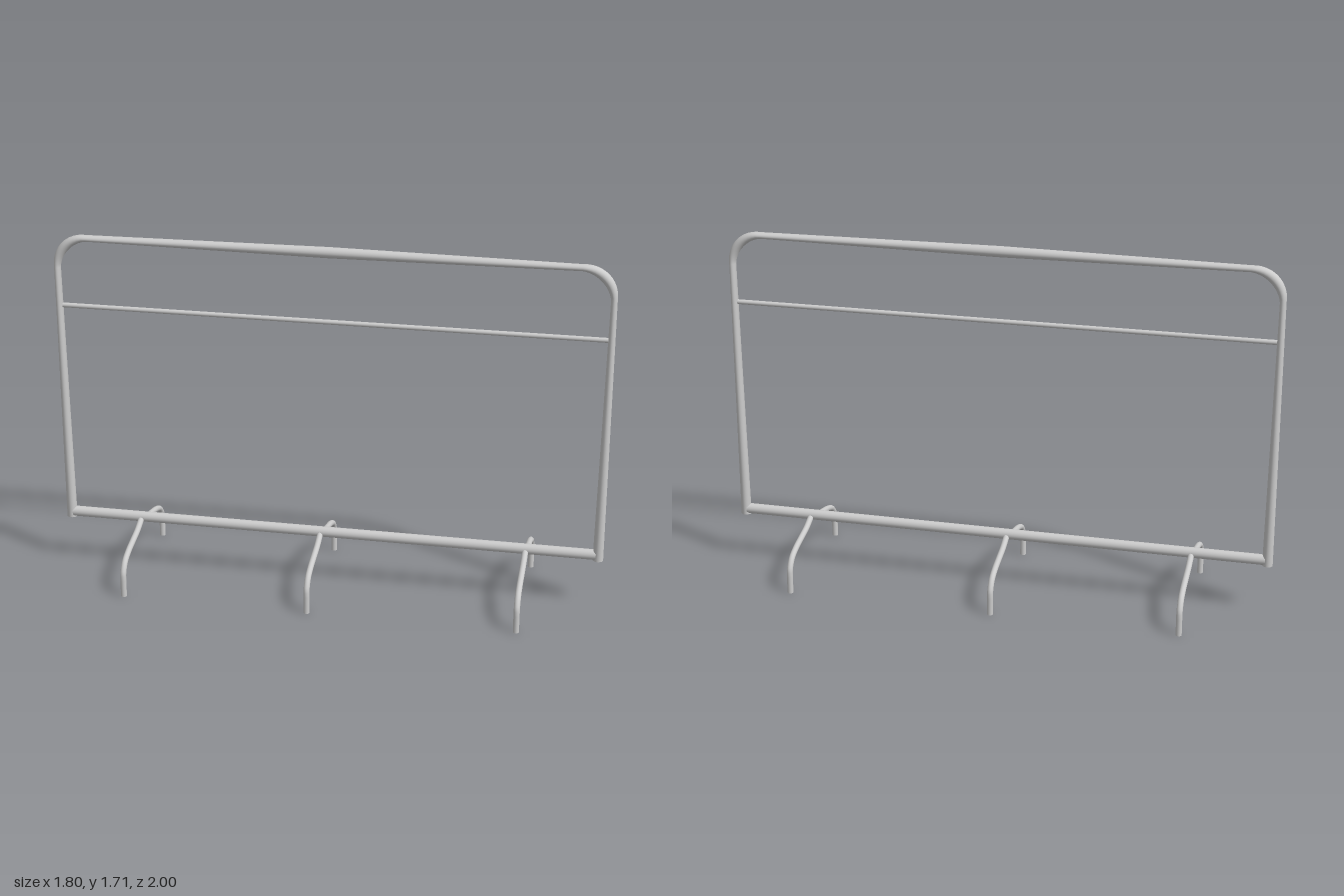
import * as THREE from 'three';

const material = new THREE.MeshStandardMaterial({ color: 0xcccccc });

function part(name, geometry) {
  const mesh = new THREE.Mesh(geometry, material);
  mesh.name = name;
  return mesh;
}

// Lofts elliptical rings along stations { x, y, angle, half } lying in the XY plane.
function sweep(stations, depth, sides = 20) {
  const positions = [], index = [];
  for (const { x, y, angle, half } of stations) {
    for (let i = 0; i <= sides; i++) {
      const a = (i / sides) * Math.PI * 2;
      const n = Math.cos(a) * half;
      positions.push(x - Math.sin(angle) * n, y + Math.cos(angle) * n, Math.sin(a) * depth);
    }
  }
  const row = sides + 1;
  for (let s = 0; s < stations.length - 1; s++) {
    for (let i = 0; i < sides; i++) {
      const a = s * row + i, b = a + row;
      index.push(a, a + 1, b, b, a + 1, b + 1);
    }
  }
  const geometry = new THREE.BufferGeometry();
  geometry.setAttribute('position', new THREE.Float32BufferAttribute(positions, 3));
  geometry.setIndex(index);
  geometry.computeVertexNormals();
  return geometry;
}

// Disc closing the bottom of a vertical tube.
function bottomCap(name, radius, x, y, z = 0) {
  const cap = part(name, new THREE.CircleGeometry(radius, 20));
  cap.rotation.x = Math.PI / 2;
  cap.position.set(x, y, z);
  return cap;
}

function rail(name, radius, length, y) {
  const mesh = part(name, new THREE.CylinderGeometry(radius, radius, length, 20));
  mesh.rotation.z = Math.PI / 2;
  mesh.position.y = y;
  return mesh;
}

// Upright posts, bends and top bar; the tube narrows slightly toward the bends.
function hoopStations() {
  const half = [{ x: -1.3, y: 0.237, angle: Math.PI / 2, half: 0.025 }];
  const steps = 12, r = 0.147;
  for (let i = 0; i <= steps; i++) {
    const t = i / steps, a = t * Math.PI / 2;
    half.push({
      x: -1.16 - r * Math.cos(a),
      y: 1.533 + r * Math.sin(a),
      angle: Math.PI / 2 - a,
      half: 0.015 + 0.008 * Math.sin(t * Math.PI),
    });
  }
  const mirrored = half.map((s) => ({ ...s, x: -s.x, angle: -s.angle })).reverse();
  return [...half, { x: 0, y: 1.68, angle: 0, half: 0.026 }, ...mirrored];
}

// One curved foot tube reaching from the bottom rail to the ground.
function legGeometry() {
  const path = new THREE.CurvePath();
  const p = (z, y) => new THREE.Vector3(0, y, z);
  const bend = new THREE.CatmullRomCurve3([
    p(0, 0.264), p(0.035, 0.248), p(0.09, 0.227), p(0.17, 0.209),
    p(0.25, 0.19), p(0.31, 0.163), p(0.342, 0.12), p(0.347, 0.085),
  ]);
  path.add(bend);
  path.add(new THREE.LineCurve3(p(0.347, 0.085), p(0.347, 0)));
  return new THREE.TubeGeometry(path, 48, 0.0145, 14, false);
}

export function createModel() {
  const model = new THREE.Group();
  model.name = 'barrier';

  const rack = new THREE.Group();
  rack.name = 'rack';
  rack.rotation.y = -THREE.MathUtils.degToRad(48.6);
  rack.position.x = -0.006;
  model.add(rack);

  rack.add(part('hoopFrame', sweep(hoopStations(), 0.025)));
  for (const side of [-1, 1]) rack.add(bottomCap('postCap', 0.025, side * 1.3, 0.237));

  rack.add(rail('middleRail', 0.0115, 2.58, 1.343));
  rack.add(rail('bottomRail', 0.0255, 2.58, 0.264));

  // Three pairs of feet set across the rail
  const leg = legGeometry();
  for (const x of [-0.94, -0.04, 0.956]) {
    const pair = new THREE.Group();
    pair.name = 'footPair';
    pair.position.x = x;
    for (const side of [-1, 1]) {
      const foot = part('foot', leg);
      if (side < 0) foot.rotation.y = Math.PI;
      pair.add(foot, bottomCap('footCap', 0.0145, 0, 0, side * 0.347));
    }
    rack.add(pair);
  }
  return model;
}
